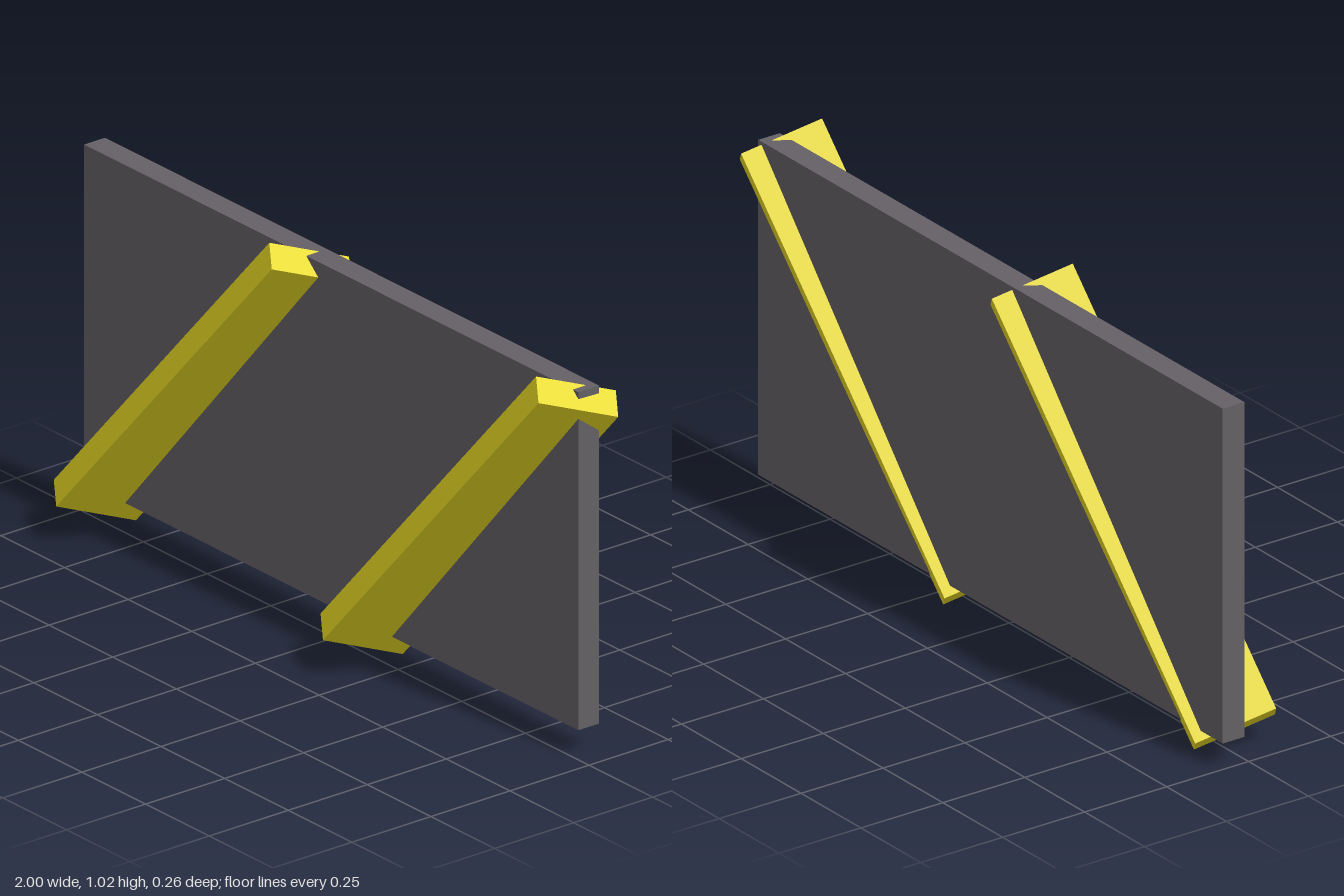
import * as THREE from 'three';

export function createModel() {
  const group = new THREE.Group();
  const grey = new THREE.MeshStandardMaterial({ color: 0x646065 });
  const yellow = new THREE.MeshStandardMaterial({ color: 0xe6d822 });

  // Upright rectangular panel
  const panel = new THREE.Mesh(new THREE.BoxGeometry(1.942, 0.91, 0.066), grey);
  panel.name = 'panel';
  panel.position.set(-0.029, 0.53, -0.046);
  group.add(panel);

  // Two parallel slanted beams that pass through the panel, slightly twisted
  const along = new THREE.Vector3(0.813, 0.91, -0.027).normalize();
  const depth = new THREE.Vector3(-0.068, 0.069, 0.196);
  depth.addScaledVector(along, -depth.dot(along)).normalize();
  const across = new THREE.Vector3().crossVectors(along, depth);
  const basis = new THREE.Matrix4().makeBasis(across, along, depth);
  const beamGeometry = new THREE.BoxGeometry(0.076, 1.221, 0.219);

  [['leftBeam', 0.53], ['rightBeam', -0.518]].forEach(([name, x]) => {
    const beam = new THREE.Mesh(beamGeometry, yellow);
    beam.name = name;
    beam.quaternion.setFromRotationMatrix(basis);
    beam.position.set(x, 0.516, 0);
    group.add(beam);
  });

  return group;
}
